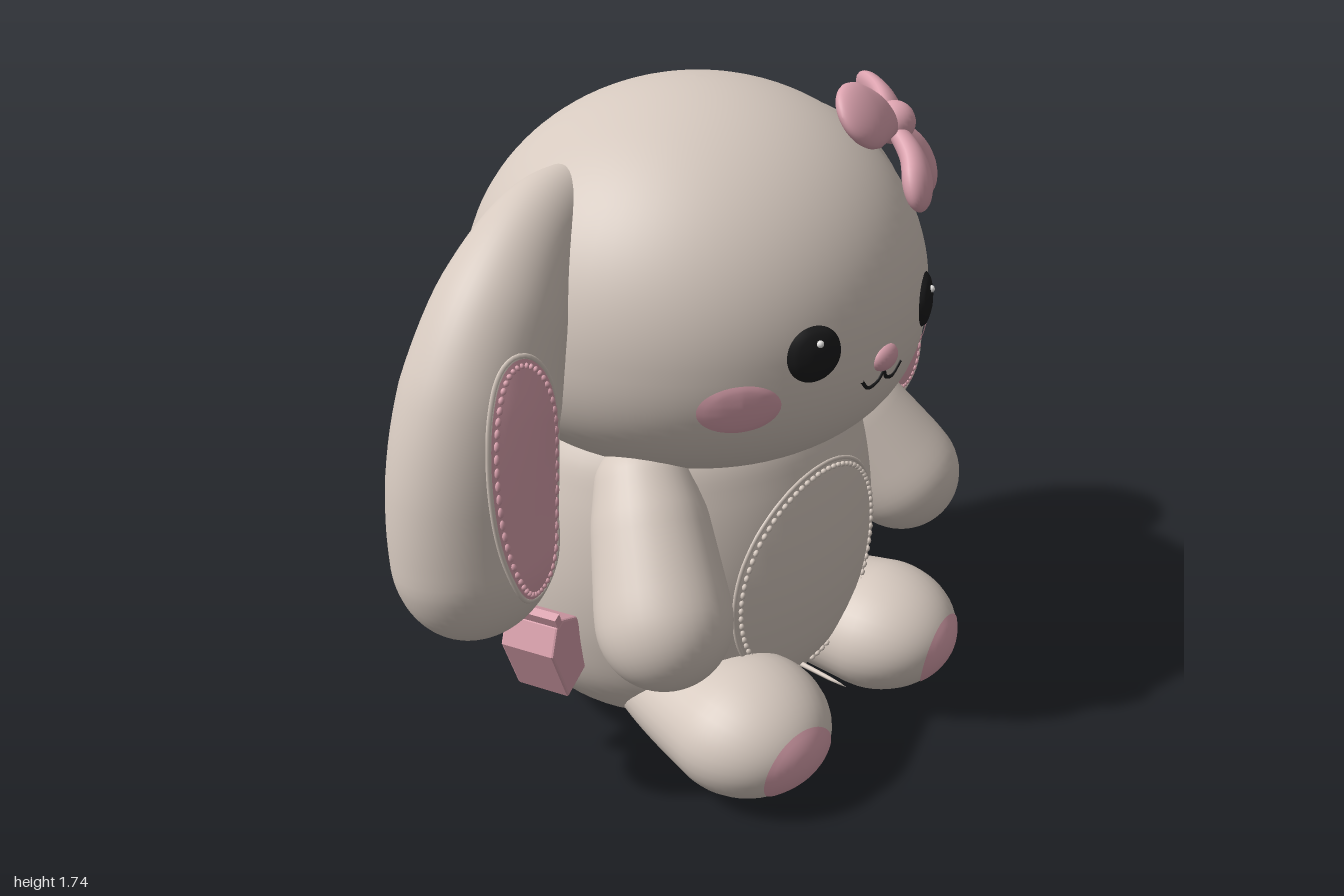
import * as THREE from 'three';
import { mergeGeometries, mergeVertices } from 'three/addons/utils/BufferGeometryUtils.js';

const V = (x, y, z) => new THREE.Vector3(x, y, z);
const ray = new THREE.Raycaster();

// Value at t along an evenly spaced list
function lerpList(list, t) {
  const f = t * (list.length - 1), i = Math.min(Math.floor(f), list.length - 2);
  return list[i] + (list[i + 1] - list[i]) * (f - i);
}

// Closed limb with oval cross-sections: w across, d along the hint direction, rounded ends
function sweep(pts, w, d, hint, cap0, cap1, rings = 40, sides = 36) {
  const curve = new THREE.CatmullRomCurve3(pts), pos = [], idx = [];
  for (let i = 0; i <= rings; i++) {
    const t = 0.5 - 0.5 * Math.cos(Math.PI * i / rings);
    const a = Math.max(0, 1 - t / cap0), b = Math.max(0, 1 - (1 - t) / cap1);
    const k = Math.max(1e-4, Math.sqrt(Math.max(0, 1 - a * a)) * Math.sqrt(Math.max(0, 1 - b * b)));
    const p = curve.getPointAt(t), tan = curve.getTangentAt(t);
    const side = hint.clone().cross(tan).normalize(), up = tan.clone().cross(side);
    for (let j = 0; j < sides; j++) {
      const an = j / sides * Math.PI * 2;
      const q = p.clone().addScaledVector(side, Math.cos(an) * lerpList(w, t) * k)
        .addScaledVector(up, Math.sin(an) * lerpList(d, t) * k);
      pos.push(q.x, q.y, q.z);
      if (i < rings) {
        const j2 = (j + 1) % sides, r0 = i * sides, r1 = r0 + sides;
        idx.push(r0 + j, r0 + j2, r1 + j, r0 + j2, r1 + j2, r1 + j);
      }
    }
  }
  const g = new THREE.BufferGeometry();
  g.setAttribute('position', new THREE.Float32BufferAttribute(pos, 3));
  g.setIndex(idx);
  g.computeVertexNormals();
  return g;
}

// Point on a mesh seen along z from the front (dir 1) or back (dir -1)
function project(target, x, y, dir = 1) {
  ray.set(V(x, y, 3 * dir), V(0, 0, -dir));
  const hit = ray.intersectObject(target)[0];
  return hit ? hit.point : V(x, y, 0);
}

// Oval patch that follows a surface, with an optional dome
function patch(target, cx, cy, rx, ry, dir = 1, dome = 0, tilt = 0) {
  let g = new THREE.RingGeometry(0, 1, 48, 8);
  g.deleteAttribute('uv');
  g.deleteAttribute('normal');
  const p = g.attributes.position, c = Math.cos(tilt), s = Math.sin(tilt);
  for (let i = 0; i < p.count; i++) {
    const u = p.getX(i), v = p.getY(i), x = u * rx * dir, y = v * ry;
    const q = project(target, cx + x * c - y * s, cy + x * s + y * c, dir);
    p.setXYZ(i, q.x, q.y, q.z + dir * (0.004 + dome * Math.sqrt(Math.max(0, 1 - u * u - v * v))));
  }
  g = mergeVertices(g, 1e-5);
  g.computeVertexNormals();
  return g;
}

// Closed outline on a surface
function oval(target, cx, cy, rx, ry, dir, n) {
  return Array.from({ length: n }, (_, i) => {
    const a = i / n * Math.PI * 2;
    return project(target, cx + Math.cos(a) * rx, cy + Math.sin(a) * ry, dir);
  });
}
const rim = (pts, r) => new THREE.TubeGeometry(new THREE.CatmullRomCurve3(pts, true), 96, r, 6, true);

// Row of small bead stitches along an outline
function stitches(pts, r, dir) {
  return mergeGeometries(pts.map((p, i) => {
    const next = pts[(i + 1) % pts.length], t = next.clone().sub(p);
    const g = new THREE.SphereGeometry(1, 8, 6);
    g.scale(t.length() * 0.42, r, r);
    g.applyQuaternion(new THREE.Quaternion().setFromUnitVectors(V(1, 0, 0), t.normalize()));
    return g.translate(p.x, p.y, p.z + dir * 0.004);
  }));
}

export function createModel() {
  const root = new THREE.Group();
  const mat = (name, color) => {
    const m = new THREE.MeshStandardMaterial({ color });
    m.name = name;
    return m;
  };
  const beige = mat('plush beige', 0xd6c9bf), pink = mat('soft pink', 0xdca3af);
  const black = mat('black', 0x1b1b1c), white = mat('white', 0xf4f2f0);
  const add = (name, geo, m, parent = root) => {
    const mesh = new THREE.Mesh(geo, m);
    mesh.name = name;
    parent.add(mesh);
    mesh.updateMatrixWorld();
    return mesh;
  };

  // Body: flat-bottomed pear, slightly shallower than wide
  const profile = [[0.001, 0.008], [0.3, 0.008], [0.52, 0.025], [0.75, 0.1], [0.91, 0.22], [0.98, 0.36],
    [1, 0.5], [0.98, 0.64], [0.93, 0.77], [0.85, 0.88], [0.65, 0.98], [0.001, 1.03]];
  const bodyGeo = new THREE.LatheGeometry(
    new THREE.SplineCurve(profile.map(([x, y]) => new THREE.Vector2(x, y))).getPoints(60)
      .map(p => p.setX(Math.max(p.x, 0))), 64);
  const body = add('body', bodyGeo.scale(0.56, 1, 0.505).translate(0, 0, -0.075), beige);

  // Head: round crown and fuller cheeks
  const headPts = [];
  for (let i = 0; i <= 60; i++) {
    const a = (i / 60 - 0.5) * Math.PI, e = a < 0 ? 2 / 2.4 : 1;
    const c = Math.max(0, Math.cos(a)), s = Math.abs(Math.sin(a));
    headPts.push(new THREE.Vector2(0.6 * c ** e, 1.185 + (a < 0 ? -0.42 : 0.53) * s ** e));
  }
  const head = add('head', new THREE.LatheGeometry(headPts, 72).scale(1, 1, 0.983).translate(0, 0, -0.023), beige);

  // Belly panel outline
  add('bellyRim', rim(oval(body, 0, 0.475, 0.3, 0.31, 1, 64), 0.006), beige);
  add('bellyStitches', stitches(oval(body, 0, 0.475, 0.285, 0.295, 1, 80), 0.007, 1), beige);

  for (const s of [1, -1]) {
    const side = s > 0 ? 'left' : 'right';

    // Drooping ear with a stitched panel on front and back
    const earPts = [[0.3, 1.48, -0.1], [0.5, 1.43, -0.07], [0.66, 1.27, -0.045], [0.755, 1.05, -0.04],
      [0.785, 0.85, -0.04], [0.785, 0.68, -0.035], [0.785, 0.51, -0.03]].map(([x, y, z]) => V(s * x, y, z));
    const ear = add(side + 'Ear', sweep(earPts, [0.09, 0.13, 0.17, 0.2, 0.213, 0.215, 0.215],
      [0.07, 0.11, 0.15, 0.17, 0.175, 0.175, 0.17], V(0, 0, 1), 0.06, 0.19, 60, 48), beige);
    const ex = s > 0 ? 0.785 : -0.75;
    for (const dir of [1, -1]) {
      const face = side + 'Ear' + (dir > 0 ? 'Front' : 'Back');
      add(face + 'Panel', patch(ear, ex, 0.945, 0.112, 0.3, dir), pink);
      add(face + 'Stitches', stitches(oval(ear, ex, 0.945, 0.1, 0.285, dir, 56), 0.007, dir), pink);
      add(face + 'Rim', rim(oval(ear, ex, 0.945, 0.117, 0.306, dir, 48), 0.006), beige);
    }

    // Arm reaching forward and down
    add(side + 'Arm', sweep([V(s * 0.35, 0.9, 0.08), V(s * 0.45, 0.68, 0.22), V(s * 0.57, 0.405, 0.39)],
      [0.1, 0.145, 0.168, 0.175], [0.1, 0.145, 0.165, 0.175], V(0, 0, 1), 0.16, 0.29), beige);

    // Leg and foot pad
    const leg = add(side + 'Leg', sweep([V(s * 0.2, 0.16, -0.05), V(s * 0.27, 0.165, 0.2), V(s * 0.33, 0.165, 0.615)],
      [0.15, 0.185, 0.215, 0.215], [0.12, 0.145, 0.172, 0.165], V(0, 1, 0), 0.2, 0.32), beige);
    add(side + 'FootPad', patch(leg, s * 0.328, 0.145, 0.113, 0.1), pink);

    // Eye, glint and cheek
    const eye = add(side + 'Eye', patch(head, s * 0.23, 1.2, 0.066, 0.068, 1, 0.018), black);
    const g = project(eye, s * 0.232, 1.23);
    add(side + 'EyeGlint', new THREE.SphereGeometry(0.009, 10, 8).translate(g.x, g.y, g.z), white);
    add(side + 'Cheek', patch(head, s * 0.375, 1.083, 0.077, 0.063, 1, 0.008, s * 0.2), pink);

    // Half of the mouth
    const lip = [[0, 1.098], [0.018, 1.072], [0.05, 1.064], [0.082, 1.092]].map(([x, y]) => project(head, s * x, y));
    add(side + 'Mouth', new THREE.TubeGeometry(new THREE.CatmullRomCurve3(lip), 24, 0.005, 8), black);
  }

  // Nose
  add('nose', new THREE.SphereGeometry(1, 24, 16).scale(0.047, 0.034, 0.025).translate(0, 1.13, 0.56), pink);

  // Bow: two loops, two tails and a knot
  const bow = new THREE.Group();
  bow.name = 'bow';
  root.add(bow);
  const knot = V(0.315, 1.6, 0.34), out = V(0.4, 0.5, 0.75).normalize();
  const petals = [
    ['bowLoopRight', V(0.02, 1.675, 0.4), [0.035, 0.055, 0.085, 0.09]],
    ['bowLoopLeft', V(0.575, 1.58, 0.09), [0.035, 0.055, 0.085, 0.09]],
    ['bowTailRight', V(0.215, 1.425, 0.5), [0.025, 0.04, 0.058, 0.06]],
    ['bowTailLeft', V(0.475, 1.395, 0.36), [0.025, 0.04, 0.058, 0.06]]];
  for (const [name, tip, w] of petals) {
    const mid = knot.clone().lerp(tip, 0.5).addScaledVector(out, 0.025);
    add(name, sweep([knot, mid, tip], w, [0.02, 0.028, 0.034, 0.034], out, 0.1, 0.3, 28, 24), pink, bow);
  }
  add('bowKnot', new THREE.SphereGeometry(0.054, 24, 16).translate(0.315, 1.6, 0.35), pink, bow);

  // Small gabled bag hanging at the right hip
  const bag = new THREE.Group();
  bag.name = 'bag';
  const shape = new THREE.Shape([[-0.06, -0.1], [0.06, -0.1], [0.06, 0.06], [0.012, 0.11], [-0.012, 0.11], [-0.06, 0.06]]
    .map(([x, y]) => new THREE.Vector2(x, y)));
  add('bagBody', new THREE.ExtrudeGeometry(shape, { depth: 0.14, bevelSize: 0.006, bevelThickness: 0.006, bevelSegments: 2 })
    .translate(0, 0, -0.07), pink, bag);
  add('bagTopFold', new THREE.BoxGeometry(0.022, 0.04, 0.15).translate(0, 0.125, 0), pink, bag);
  add('bagCharm', new THREE.SphereGeometry(0.018, 12, 8).translate(0.03, -0.12, 0.04), pink, bag);
  bag.position.set(-0.6, 0.375, -0.02);
  bag.rotation.set(0, 0.25, 0.4);
  root.add(bag);

  return root;
}
